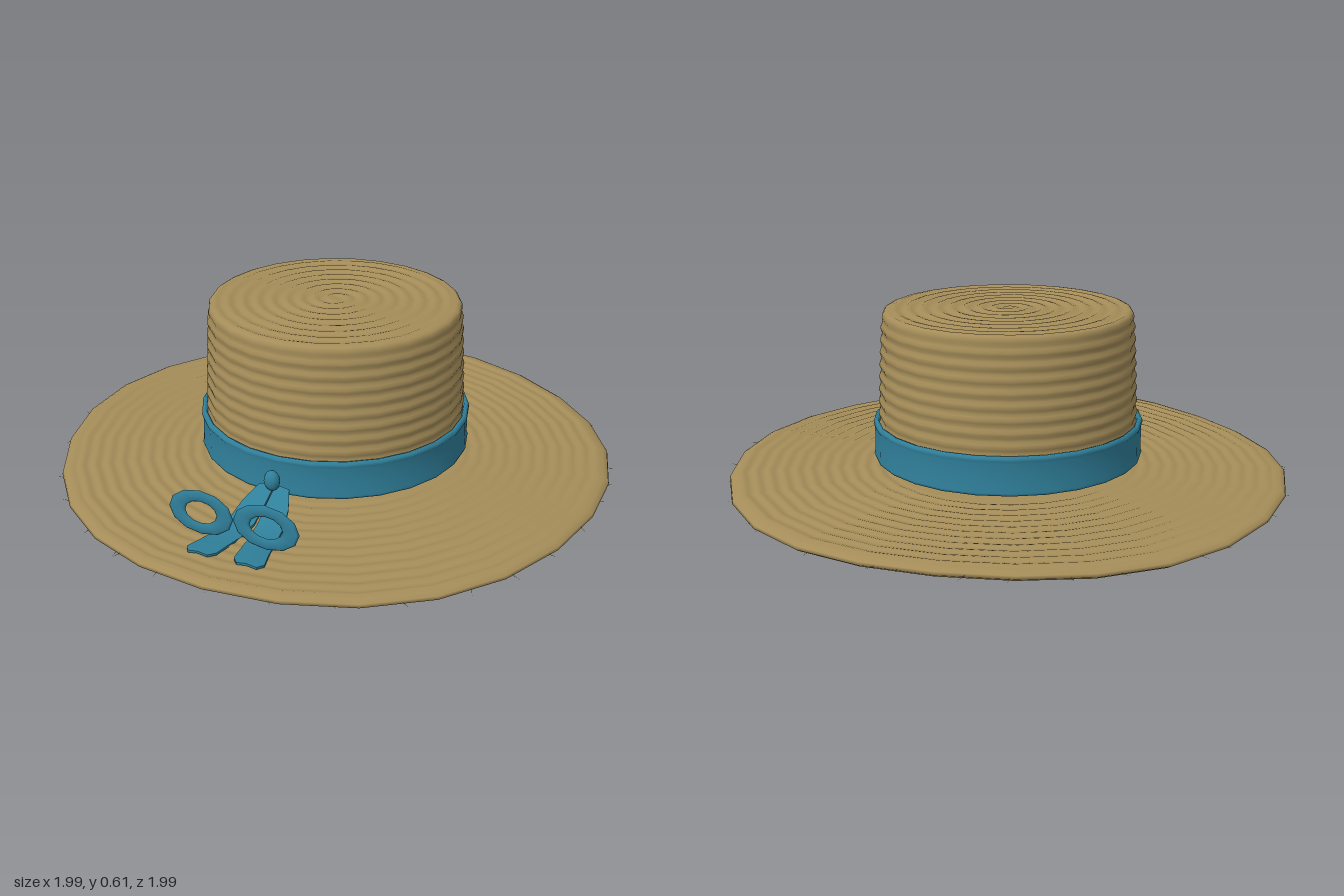
import * as THREE from 'three';
import { mergeVertices } from 'three/addons/utils/BufferGeometryUtils.js';

const CX = -0.013, CZ = 0.014; // axis of the hat
const SIDES = 26;

// Lathe a profile, move its vertices by a rule, then smooth the normals
function woven(points, rule) {
  let g = new THREE.LatheGeometry(points.map(p => new THREE.Vector2(p[0], p[1])), SIDES);
  g.deleteAttribute('uv');
  g.deleteAttribute('normal');
  g = mergeVertices(g, 1e-5);
  const pos = g.attributes.position, v = new THREE.Vector3();
  for (let i = 0; i < pos.count; i++) {
    v.fromBufferAttribute(pos, i);
    rule(v, Math.hypot(v.x, v.z), Math.atan2(v.x, v.z));
    pos.setXYZ(i, v.x, v.y, v.z);
  }
  g.computeVertexNormals();
  return g;
}

const braid = (r, a, step) => Math.sin(2 * Math.PI * r / step + a); // spiral plait
const wave = (r, a) => 0.009 * Math.cos(4 * a) * r ** 4;            // brim undulation

function brimGeometry() {
  const pts = [[0, 0.022], [0.5, 0.02], [0.85, 0.017], [0.93, 0.018], [0.965, 0.024],
    [0.98, 0.034], [0.977, 0.044], [0.962, 0.052]];
  for (let r = 0.945; r > 0.42; r -= 0.008) pts.push([r, 0.055]);
  pts.push([0, 0.055]);
  return woven(pts, (v, r, a) => {
    if (v.y === 0 || r < 0.01) return;
    if (v.y > 0.0545 && r > 0.4) v.y += 0.0028 * braid(r, a, 0.047);
    v.y += wave(r, a);
    const k = 1 + 0.006 * Math.sin(3 * a + 1) * r; // slightly uneven outline
    v.x *= k;
    v.z *= k;
  });
}

function crownGeometry() {
  const pts = [[0, 0.1], [0.44, 0.1], [0.458, 0.102]];
  for (let i = 0; i <= 48; i++) {
    const t = i / 48;
    pts.push([0.458 - 0.02 * t ** 1.5 + 0.0035 * Math.sin(t * 22 * Math.PI), 0.11 + 0.48 * t]);
  }
  pts.push([0.436, 0.603], [0.43, 0.611], [0.42, 0.615]);
  for (let r = 0.41; r > 0.01; r -= 0.008) pts.push([r, 0.614]);
  pts.push([0, 0.614]);
  return woven(pts, (v, r, a) => {
    if (v.y > 0.6135 && r > 0.01 && r < 0.415) v.y += 0.003 * braid(r, a, 0.05);
  });
}

// Ribbon tail that drops from the knot and lies along the brim
function tailGeometry(side) {
  const path = [[0.51, 0.128, 0.028, 0.026], [0.575, 0.096, 0.042, 0.04], [0.645, 0.063, 0.05, 0.045],
    [0.72, 0.055, 0.058, 0.046], [0.79, 0.062, 0.07, 0.048], [0.85, 0.067, 0.082, 0.052],
    [0.872, 0.068, 0.084, 0.034]]; // z, y, centre offset, half width
  const g = new THREE.BoxGeometry(2, 0.008, 1, 2, 1, path.length - 1);
  const p = g.attributes.position;
  for (let i = 0; i < p.count; i++) {
    const [z, y, off, half] = path[Math.round((p.getZ(i) + 0.5) * (path.length - 1))];
    const u = p.getX(i);
    p.setXYZ(i, side * off + u * half, y + p.getY(i) + 0.005 * (1 - Math.abs(u)), z);
  }
  g.computeVertexNormals();
  return g;
}

export function createModel() {
  const hat = new THREE.Group();
  hat.name = 'strawHat';
  const straw = new THREE.MeshStandardMaterial({ color: 0xa58d59 });
  straw.name = 'straw';
  const ribbon = new THREE.MeshStandardMaterial({ color: 0x30809b });
  ribbon.name = 'blueRibbon';

  const add = (name, geometry, material, x = CX, y = 0, z = CZ, parent = hat) => {
    const m = new THREE.Mesh(geometry, material);
    m.name = name;
    m.position.set(x, y, z);
    parent.add(m);
    return m;
  };

  add('brim', brimGeometry(), straw);
  add('crown', crownGeometry(), straw);

  // Ribbon band with rolled upper and lower edges
  const band = [[0.452, 0.1], [0.462, 0.093], [0.474, 0.095], [0.477, 0.104], [0.473, 0.112],
    [0.473, 0.16], [0.472, 0.203], [0.477, 0.212], [0.476, 0.222], [0.469, 0.229], [0.46, 0.226],
    [0.455, 0.215], [0.452, 0.1]];
  add('hatBand', woven(band, () => {}), ribbon);

  // Bow: knot at the band, tails on the brim, loops standing in front
  const bow = new THREE.Group();
  bow.name = 'bow';
  hat.add(bow);
  add('knot', new THREE.SphereGeometry(1, 12, 8), ribbon, -0.015, 0.16, 0.522, bow)
    .scale.set(0.028, 0.036, 0.023);
  for (const side of [-1, 1]) {
    const label = side > 0 ? 'left' : 'right';
    add(label + 'Tail', tailGeometry(side), ribbon, -0.013, 0, 0, bow);
    add(label + 'Loop', new THREE.TorusGeometry(1, 0.34, 8, 12), ribbon,
      -0.013 + side * 0.112, 0.163, 0.792, bow).scale.set(0.084, 0.058, 0.017);
  }

  // Frayed straw ends around the rim
  let seed = 7;
  const rand = () => (seed = (seed * 16807) % 2147483647) / 2147483647;
  const frays = new THREE.Group();
  frays.name = 'frayedStraws';
  hat.add(frays);
  const fray = new THREE.ConeGeometry(0.0022, 0.055, 4);
  for (let i = 0; i < 36; i++) {
    const a = (i + rand()) / 36 * Math.PI * 2;
    const m = add('fray', fray, straw, CX + 0.972 * Math.sin(a), 0.036 + wave(0.97, a),
      CZ + 0.972 * Math.cos(a), frays);
    const b = a + (rand() - 0.5) * 1.6;
    const dir = new THREE.Vector3(Math.sin(b), (rand() - 0.6) * 0.5, Math.cos(b)).normalize();
    m.quaternion.setFromUnitVectors(new THREE.Vector3(0, 1, 0), dir);
  }
  return hat;
}
